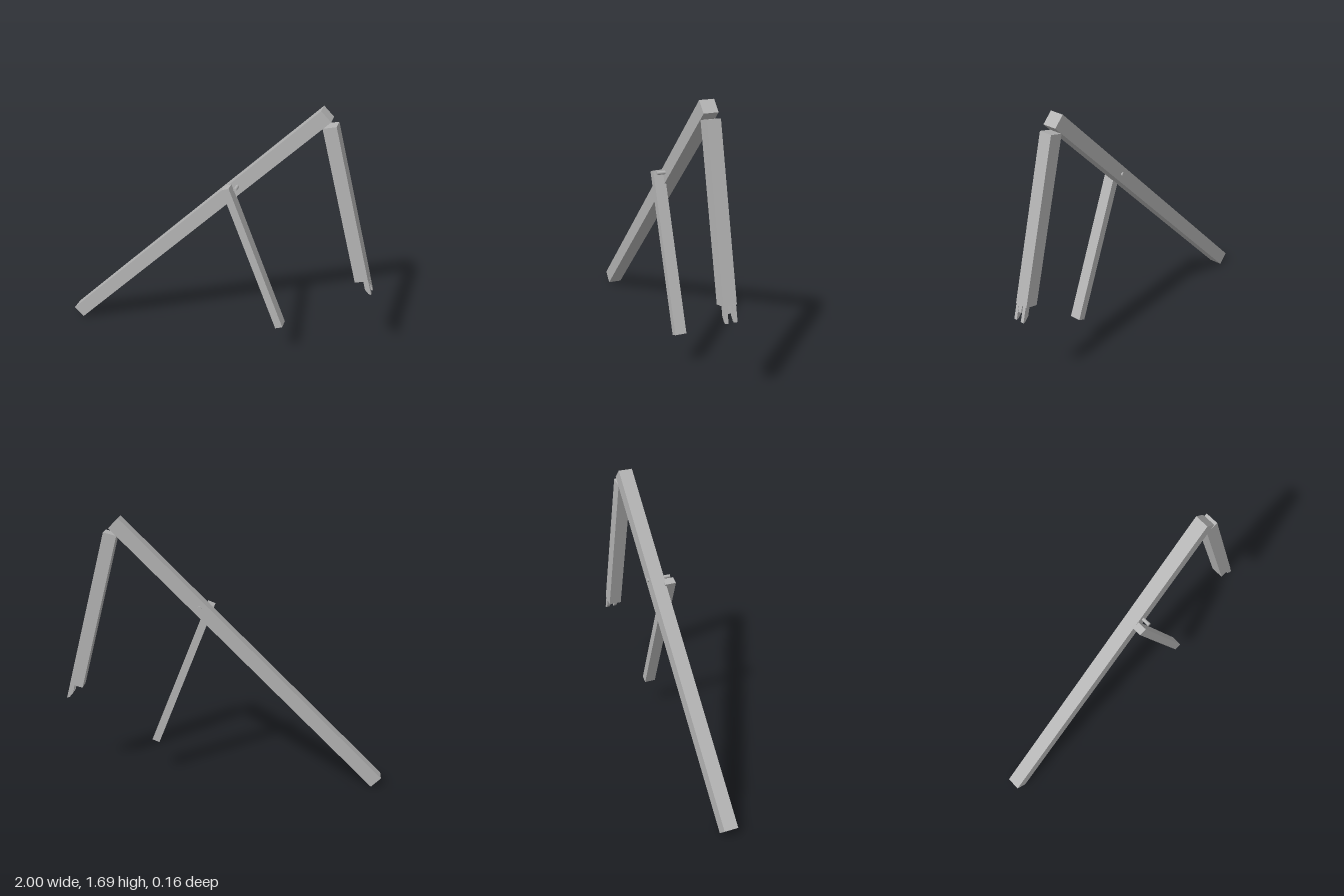
import * as THREE from 'three';

export function createModel() {
  const model = new THREE.Group();
  const grey = new THREE.MeshStandardMaterial({ color: 0xb4b4b4 });
  grey.name = 'grey';

  // Extrudes a front outline between two depths
  function plate(name, outline, z0, z1) {
    const shape = new THREE.Shape(outline.map(([x, y]) => new THREE.Vector2(x, y)));
    const geometry = new THREE.ExtrudeGeometry(shape, { depth: z1 - z0, bevelEnabled: false });
    geometry.translate(0, 0, z0);
    const mesh = new THREE.Mesh(geometry, grey);
    mesh.name = name;
    model.add(mesh);
  }

  // Long slanted beam
  plate('mainBeam', [[-1, 0.061], [-0.939, 0], [0.688, 1.632], [0.627, 1.693]], -0.07, 0.018);

  // Thin prop leg on the front of the beam
  plate('propLeg', [[0.063, 1.142], [0.423, 0.217], [0.468, 0.235], [0.108, 1.16]], 0.008, 0.079);

  // Hanging arm below the upper end of the beam
  plate('hangingArm', [[0.64, 1.586], [0.892, 0.608], [0.972, 0.629], [0.72, 1.606]], -0.069, 0.014);

  // Two pointed prongs at the arm's end, with a short tab between them
  const prong = [[0.942, 0.622], [0.957, 0.565], [0.98, 0.54], [0.997, 0.535], [0.972, 0.63]];
  plate('frontProng', prong, -0.01, 0.01);
  plate('backProng', prong, -0.064, -0.042);
  plate('middleTab', [[0.945, 0.622], [0.956, 0.58], [0.984, 0.587], [0.972, 0.63]], -0.036, -0.012);

  // Pivot pin through the beam
  const pin = new THREE.Mesh(new THREE.CylinderGeometry(0.011, 0.011, 0.15, 16), grey);
  pin.name = 'pivotPin';
  pin.rotation.x = Math.PI / 2;
  pin.position.set(0.145, 1.152, -0.004);
  model.add(pin);

  return model;
}
